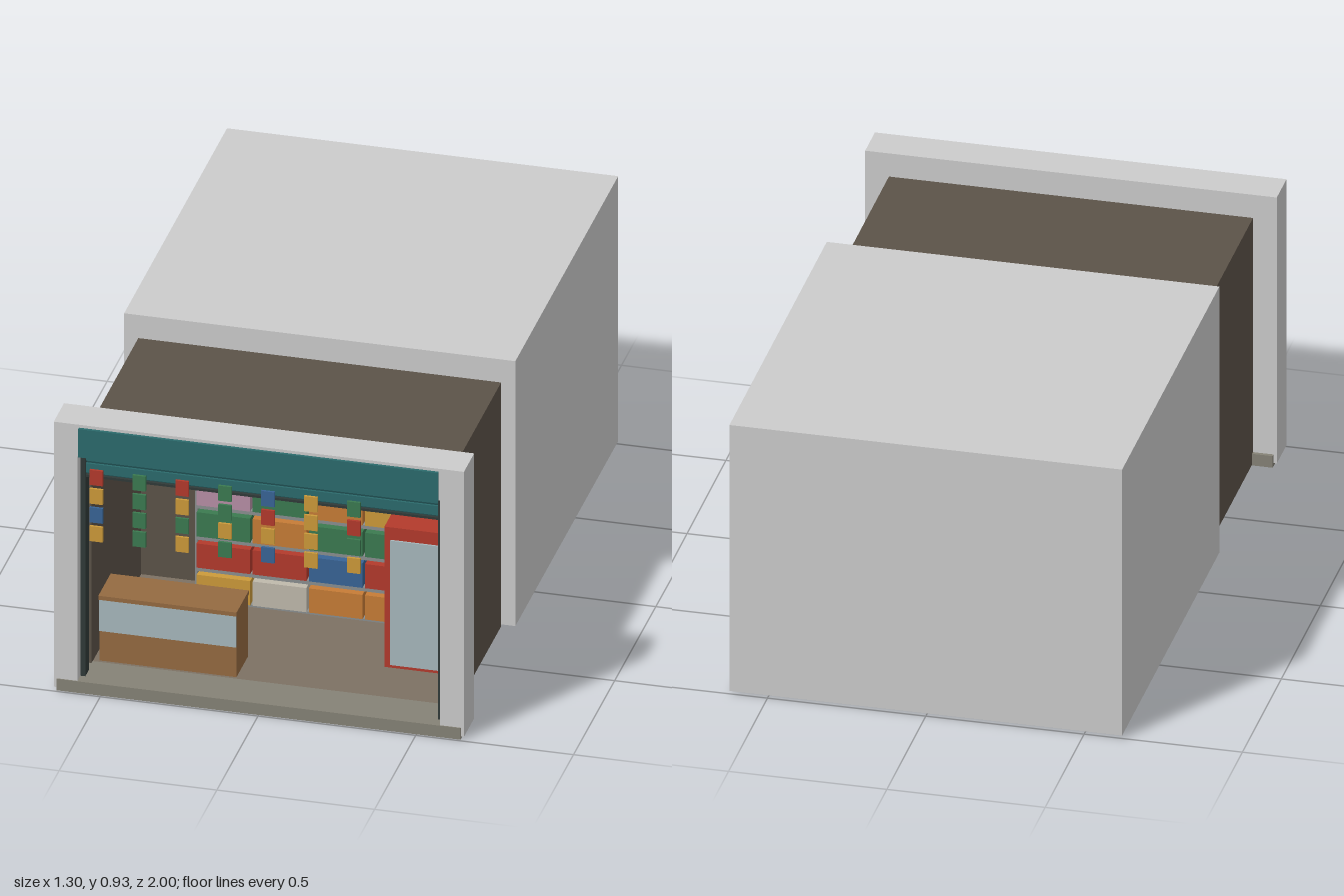
import * as THREE from 'three';

const colors = {
  grey: 0xcccccc, teal: 0x2b6a6c, tealDark: 0x1f4f52, wall: 0x5c5348, floor: 0x7d7163,
  sill: 0x858276, dark: 0x303a38, red: 0xb33a2c, green: 0x3b7a50, orange: 0xc67c36,
  yellow: 0xcc9a3a, blue: 0x386496, pink: 0xb78fa6, white: 0xbfb9ac, glass: 0xa7b8bd,
  wood: 0x946a41, metal: 0x8a8f90,
};
const materials = {};
for (const key in colors) materials[key] = new THREE.MeshStandardMaterial({ color: colors[key] });

// Box given by its extents on each axis
function box(parent, name, color, [x0, x1], [y0, y1], [z0, z1]) {
  const mesh = new THREE.Mesh(new THREE.BoxGeometry(x1 - x0, y1 - y0, z1 - z0), materials[color]);
  mesh.position.set((x0 + x1) / 2, (y0 + y1) / 2, (z0 + z1) / 2);
  mesh.name = name;
  parent.add(mesh);
  return mesh;
}

function group(parent, name) {
  const g = new THREE.Group();
  g.name = name;
  parent.add(g);
  return g;
}

export function createModel() {
  const model = new THREE.Group();
  model.name = 'shopUnit';

  // Plain rear block
  box(model, 'rearBlock', 'grey', [-0.62, 0.62], [0.01, 0.93], [-1, 0.25]);

  // Hollow shop room, open at the front
  const room = group(model, 'room');
  box(room, 'roomBase', 'wall', [-0.575, 0.575], [0.003, 0.03], [0.25, 0.865]);
  box(room, 'floor', 'floor', [-0.563, 0.563], [0.03, 0.038], [0.262, 0.98]);
  box(room, 'ceiling', 'wall', [-0.575, 0.575], [0.838, 0.85], [0.25, 0.866]);
  box(room, 'backWall', 'wall', [-0.563, 0.563], [0.03, 0.838], [0.25, 0.262]);
  box(room, 'rightWall', 'wall', [-0.575, -0.563], [0.03, 0.838], [0.25, 0.866]);
  box(room, 'leftWall', 'wall', [0.563, 0.575], [0.03, 0.838], [0.25, 0.866]);

  // Shop front: pillars, lintel, sill, sign board
  const front = group(model, 'shopFront');
  box(front, 'rightPillar', 'grey', [-0.65, -0.575], [0.01, 0.93], [0.865, 0.99]);
  box(front, 'leftPillar', 'grey', [0.575, 0.65], [0.01, 0.93], [0.865, 0.99]);
  box(front, 'lintel', 'grey', [-0.575, 0.575], [0.82, 0.93], [0.865, 0.99]);
  box(front, 'sill', 'sill', [-0.64, 0.64], [0, 0.04], [0.853, 0.993]);
  box(front, 'signBoard', 'teal', [-0.57, 0.57], [0.822, 0.92], [0.988, 1]);

  // Raised roller shutter with its guide rails
  const shutter = group(model, 'shutter');
  for (const s of [-1, 1]) {
    const x = s * 0.5675;
    box(shutter, 'guideRail', 'dark', [x - 0.0085, x + 0.0085], [0.04, 0.822], [0.91, 0.955]);
  }
  box(shutter, 'shutterCore', 'tealDark', [-0.559, 0.559], [0.738, 0.822], [0.93, 0.94]);
  for (const y of [0.744, 0.785]) {
    box(shutter, 'slat', 'teal', [-0.559, 0.559], [y, y + 0.032], [0.925, 0.947]);
  }
  box(shutter, 'bottomRail', 'dark', [-0.559, 0.559], [0.73, 0.738], [0.92, 0.95]);

  // Hanging strips of small packets
  const strips = [
    ['red', 'yellow', 'blue', 'yellow'], ['green', 'green', 'green', 'green'],
    ['red', 'yellow', 'green', 'yellow'], ['green', 'green', 'yellow', 'green'],
    ['blue', 'red', 'yellow', 'blue'], ['yellow', 'yellow', 'yellow', 'yellow'],
    ['green', 'red', 'green', 'yellow'],
  ];
  const hanging = group(model, 'hangingPackets');
  strips.forEach((strip, i) => {
    const x = -0.52 + i * 0.136;
    strip.forEach((color, j) => {
      const y = 0.743 - j * 0.065;
      box(hanging, 'packet', color, [x - 0.021, x + 0.021], [y - 0.026, y + 0.026], [0.966, 0.974]);
    });
  });

  // Stocked shelves against the back wall, rows from the top down
  const rows = [
    ['red', 'green', 'red', 'orange'], ['pink', 'green', 'orange', 'yellow'],
    ['green', 'orange', 'green', 'green'], ['red', 'red', 'blue', 'red'],
    ['yellow', 'white', 'orange', 'orange'],
  ];
  const shelves = group(model, 'shelves');
  for (const x of [-0.357, 0.357]) {
    box(shelves, 'shelfSide', 'metal', [x - 0.004, x + 0.004], [0.038, 0.548], [0.262, 0.38]);
  }
  rows.forEach((row, i) => {
    const y = 0.48 - i * 0.1085;
    box(shelves, 'shelfBoard', 'metal', [-0.353, 0.353], [y - 0.014, y], [0.262, 0.385]);
    row.forEach((color, j) => {
      const x = -0.354 + j * 0.178;
      box(shelves, 'goods', color, [x, x + 0.17], [y, y + 0.084], [0.275, 0.39]);
    });
  });

  // Counter with a glass front panel
  const counter = group(model, 'counter');
  box(counter, 'counterBody', 'wood', [-0.544, -0.11], [0.038, 0.252], [0.7, 0.84]);
  box(counter, 'counterTop', 'wood', [-0.546, -0.108], [0.252, 0.266], [0.697, 0.847]);
  box(counter, 'counterGlass', 'glass', [-0.544, -0.11], [0.143, 0.252], [0.84, 0.845]);

  // Drinks cooler with a glass door
  const cooler = group(model, 'cooler');
  box(cooler, 'coolerBody', 'red', [0.312, 0.556], [0.038, 0.525], [0.46, 0.66]);
  box(cooler, 'coolerDoor', 'glass', [0.332, 0.538], [0.05, 0.482], [0.66, 0.666]);

  return model;
}
